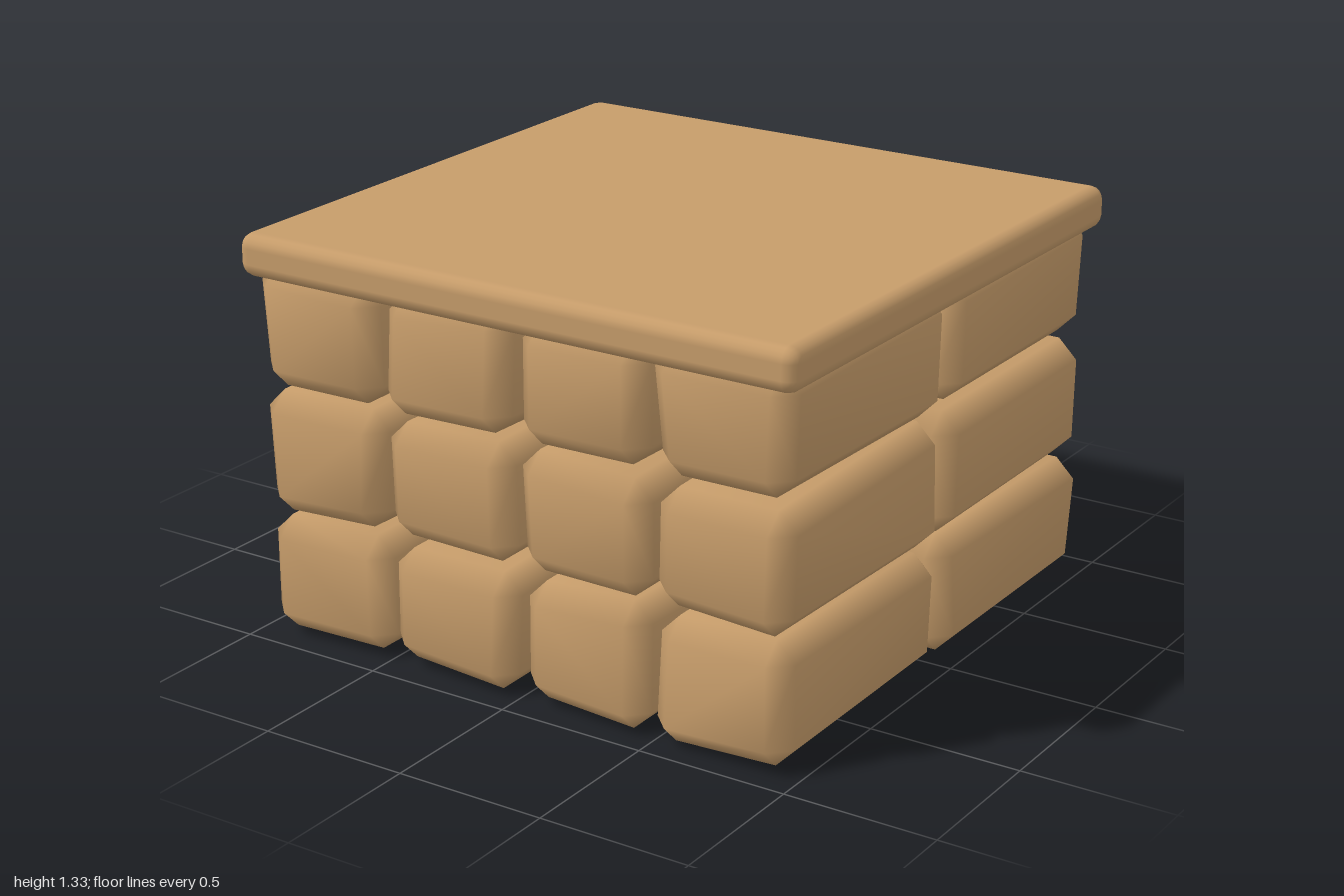
import * as THREE from 'three';
import { mergeVertices } from 'three/addons/utils/BufferGeometryUtils.js';
import { RoundedBoxGeometry } from 'three/addons/geometries/RoundedBoxGeometry.js';
import { ConvexGeometry } from 'three/addons/geometries/ConvexGeometry.js';

// Small seeded generator, 0..1
function seeded(seed) {
  return () => {
    seed = (seed * 16807) % 2147483647;
    return seed / 2147483647;
  };
}

// Chamfered block whose eight corners are each pulled slightly inwards
function stoneGeometry(w, h, d, bevel, jitter, random) {
  const points = [];
  for (const sx of [-1, 1]) for (const sy of [-1, 1]) for (const sz of [-1, 1]) {
    const corner = new THREE.Vector3(
      sx * (w / 2 - random() * jitter),
      sy * (h / 2 - random() * jitter),
      sz * (d / 2 - random() * jitter));
    // One point per face meeting at this corner
    for (let face = 0; face < 3; face++) {
      points.push(new THREE.Vector3(
        corner.x - (face === 0 ? 0 : sx * bevel),
        corner.y - (face === 1 ? 0 : sy * bevel),
        corner.z - (face === 2 ? 0 : sz * bevel)));
    }
  }
  // Share the vertices so that shading rolls smoothly over the bevels
  let geometry = new ConvexGeometry(points);
  geometry.deleteAttribute('normal');
  geometry = mergeVertices(geometry, 1e-5);
  geometry.computeVertexNormals();
  return geometry;
}

export function createModel() {
  const model = new THREE.Group();
  model.name = 'stoneBlockTable';
  const sandstone = new THREE.MeshStandardMaterial({ name: 'sandstone', color: 0xc69c6a });
  const random = seeded(4711);

  // Three courses of four by two stones
  const w = 0.487, h = 0.417, d = 0.957;
  const stones = new THREE.Group();
  stones.name = 'stoneCourses';
  for (let row = 0; row < 3; row++) {
    for (let column = 0; column < 4; column++) {
      for (let depth = 0; depth < 2; depth++) {
        const stone = new THREE.Mesh(stoneGeometry(w, h, d, 0.065, 0.022, random), sandstone);
        stone.name = `stone_${row}_${column}_${depth}`;
        stone.position.set((column - 1.5) * w, (row + 0.5) * h, (depth - 0.5) * d);
        stones.add(stone);
      }
    }
  }
  model.add(stones);

  // Overhanging slab with rounded edges
  const slab = new THREE.Mesh(new RoundedBoxGeometry(2, 0.14, 1.94, 2, 0.045), sandstone);
  slab.name = 'topSlab';
  slab.position.y = 1.265;
  model.add(slab);

  return model;
}
